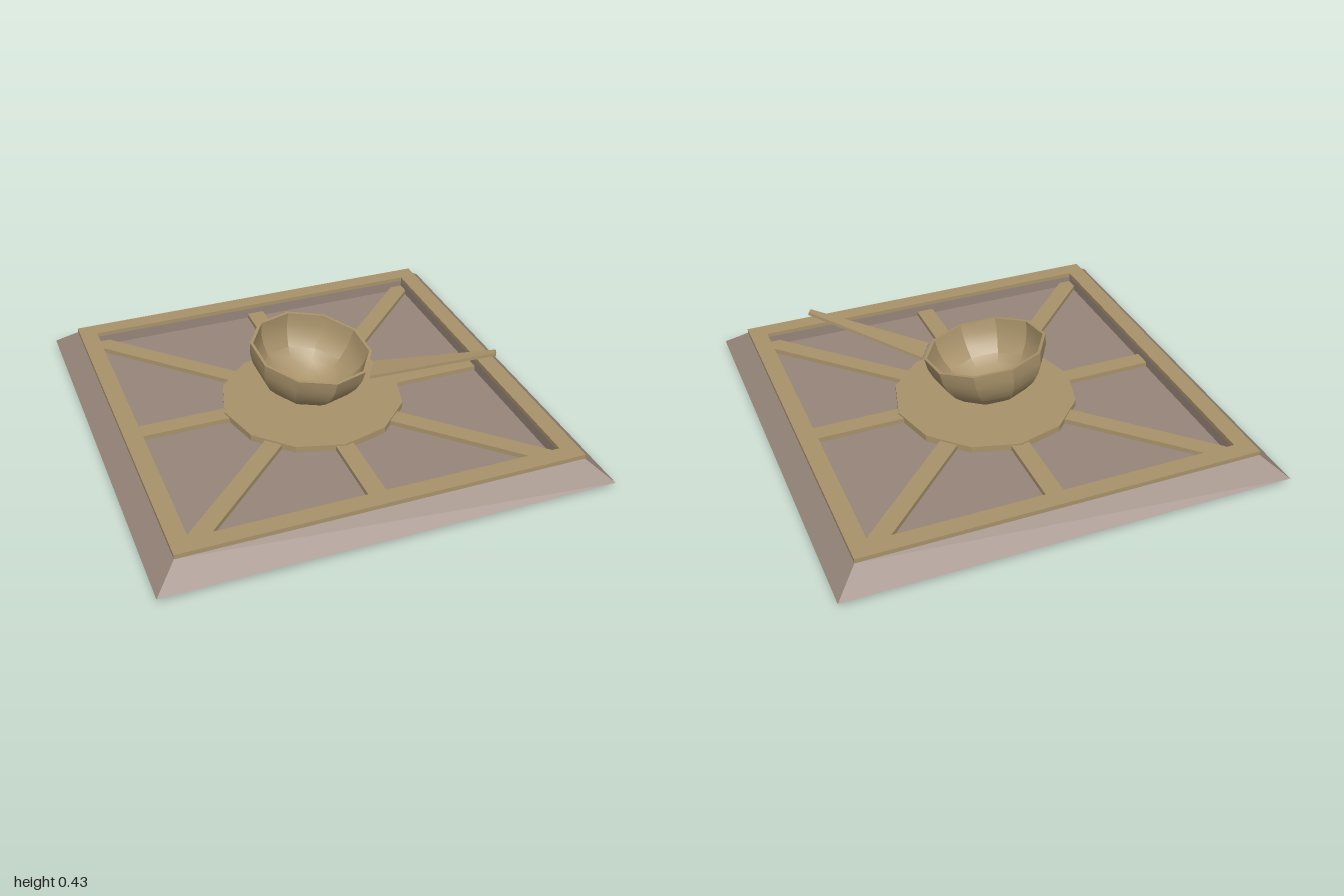
import * as THREE from 'three';
import { toCreasedNormals } from 'three/addons/utils/BufferGeometryUtils.js';

const stone = new THREE.MeshStandardMaterial({ color: 0x96857a, flatShading: true });
const brass = new THREE.MeshStandardMaterial({ color: 0xa8926a, flatShading: true });
const brassSmooth = new THREE.MeshStandardMaterial({ color: 0xa8926a });

function part(name, geometry, material) {
  const mesh = new THREE.Mesh(geometry, material);
  mesh.name = name;
  return mesh;
}

// Square ring or slab: a four-sided lathe whose profile is given as [half width, height]
function squareLathe(profile) {
  const points = profile.map(([h, y]) => new THREE.Vector2(h * Math.SQRT2, y));
  return new THREE.LatheGeometry(points, 4, Math.PI / 4);
}

// Ten-sided hollow half bowl with a thin wall, rim at y = 0
function bowlGeometry() {
  const points = [];
  const rings = 7;
  const arc = (r, depth, t) => new THREE.Vector2(
    r * Math.sin(t * Math.PI / 2), -depth * Math.cos(t * Math.PI / 2));
  for (let i = 0; i <= rings; i++) points.push(arc(0.28, 0.258, i / rings));
  for (let i = rings; i >= 0; i--) points.push(arc(0.266, 0.243, i / rings));
  return toCreasedNormals(new THREE.LatheGeometry(points, 10, 0.07), 0.5);
}

// Flat handle along +x, narrowing towards its tip
function handleGeometry(length, baseWidth, tipWidth, thickness) {
  const geometry = new THREE.BoxGeometry(length, thickness, 1).translate(length / 2, 0, 0);
  const p = geometry.attributes.position;
  for (let i = 0; i < p.count; i++) {
    p.setZ(i, p.getZ(i) * THREE.MathUtils.lerp(baseWidth, tipWidth, p.getX(i) / length));
  }
  geometry.computeVertexNormals();
  return geometry;
}

export function createModel() {
  const model = new THREE.Group();
  model.name = 'plateWithSpoon';

  // Sloped square plate with a sunken floor
  model.add(part('basePlate', squareLathe([
    [0, 0.025], [1, 0.025], [0.9, 0.11], [0.82, 0.11], [0.82, 0.06], [0, 0.06],
  ]), stone));

  // Raised border around the recess
  model.add(part('borderTrim', squareLathe([
    [0.82, 0.11], [0.9, 0.11], [0.9, 0.13], [0.82, 0.13], [0.82, 0.11],
  ]), brass));

  // Central disc, passing through the plate to form its foot
  const disc = part('centreDisc', new THREE.CylinderGeometry(0.42, 0.42, 0.09, 12), brass);
  disc.position.y = 0.045;
  model.add(disc);

  // Eight spokes from the disc to the border, the longer ones on the diagonals
  const spokes = new THREE.Group();
  spokes.name = 'spokes';
  for (let i = 0; i < 8; i++) {
    const inner = 0.38;
    const outer = i % 2 ? 0.82 * Math.SQRT2 : 0.82;
    const geometry = new THREE.BoxGeometry(outer - inner, 0.03, 0.082);
    geometry.translate((inner + outer) / 2, 0.067, 0);
    const spoke = part('spoke', geometry, brass);
    spoke.rotation.y = i * Math.PI / 4;
    spokes.add(spoke);
  }
  model.add(spokes);

  // Spoon: bowl tipped towards the front left, with a rising handle
  const spoon = new THREE.Group();
  spoon.name = 'spoon';
  const bowl = part('spoonBowl', bowlGeometry(), brassSmooth);
  bowl.position.y = 0.345;
  bowl.quaternion.setFromAxisAngle(new THREE.Vector3(1, 0, -1).normalize(), 0.178);
  const handle = part('spoonHandle', handleGeometry(0.56, 0.13, 0.03, 0.014), brass);
  handle.position.set(0.226, 0.272, 0.168);
  handle.rotation.set(0, -0.557, 0.28, 'YZX');
  spoon.add(bowl, handle);
  model.add(spoon);

  return model;
}
